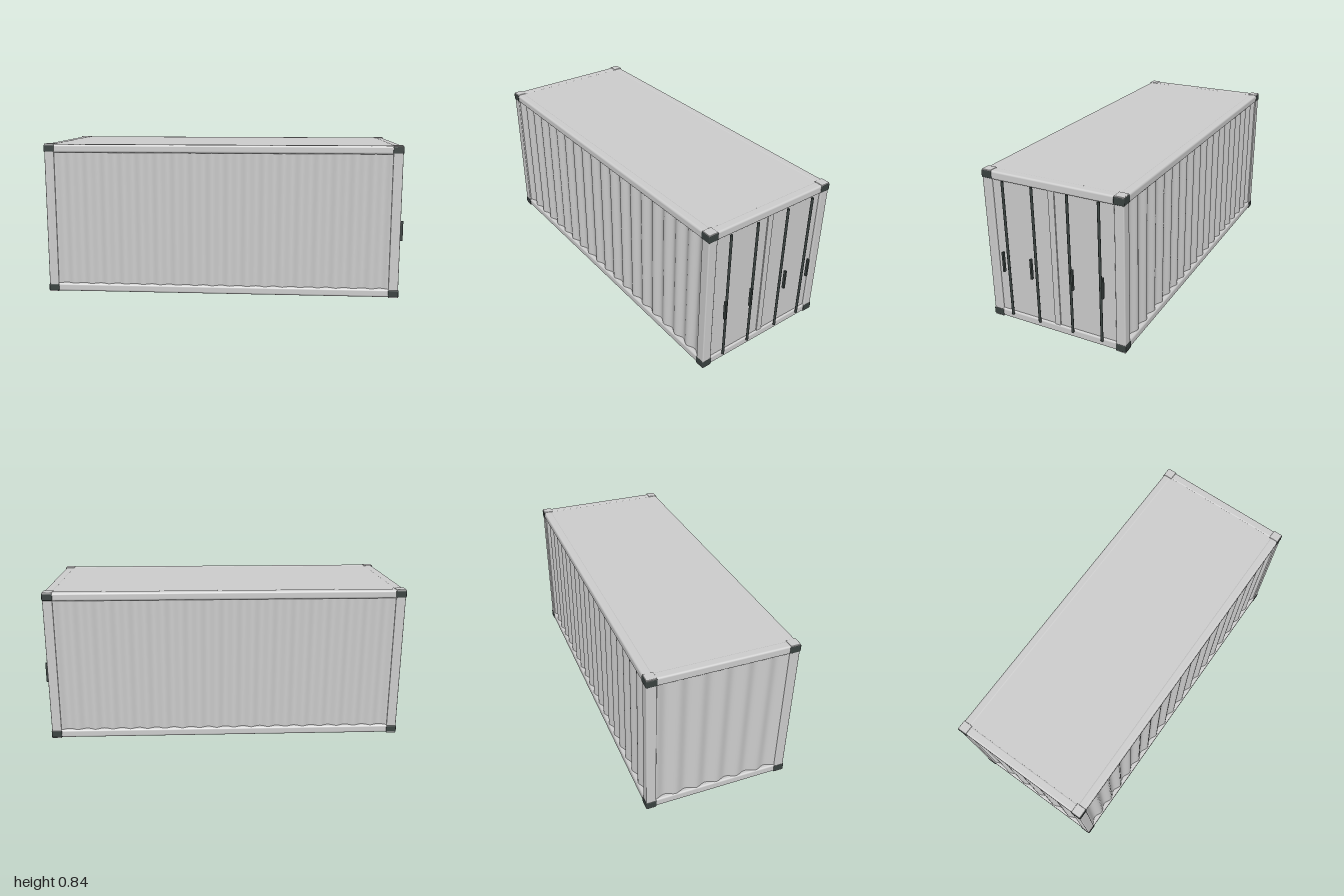
import * as THREE from 'three';
import { RoundedBoxGeometry } from 'three/addons/geometries/RoundedBoxGeometry.js';

export function createModel() {
  const model = new THREE.Group();
  const steel = new THREE.MeshStandardMaterial({ color: 0xcccccc });
  steel.name = 'light grey steel';
  const dark = new THREE.MeshStandardMaterial({ color: 0x3a4240 });
  dark.name = 'dark grey metal';

  function add(name, geometry, material, x, y, z) {
    const mesh = new THREE.Mesh(geometry, material);
    mesh.name = name;
    mesh.position.set(x, y, z);
    model.add(mesh);
    return mesh;
  }
  const box = (name, material, w, h, d, x, y, z) =>
    add(name, new THREE.BoxGeometry(w, h, d), material, x, y, z);
  const rounded = (name, material, w, h, d, r, x, y, z) =>
    add(name, new RoundedBoxGeometry(w, h, d, 3, r), material, x, y, z);

  // Frame extents
  const xBack = -0.997, xDoor = 0.969, zSide = 0.397;
  const post = 0.053, midX = (xBack + xDoor) / 2, length = xDoor - xBack;
  const yLow = 0.026, yHigh = 0.818, midY = 0.422;
  const ends = [xBack + post / 2, xDoor - post / 2];
  const sides = [-1, 1];

  // Posts, corner castings and rails
  for (const s of sides) {
    const z = s * (zSide - post / 2);
    for (const x of ends) {
      rounded('cornerPost', steel, post, 0.79, post, 0.006, x, midY, z);
      for (const y of [yLow, yHigh]) {
        const out = y === yLow ? -1 : 1;
        rounded('cornerCap', steel, post, 0.046, post, 0.003, x, y + out * 0.003, z);
        rounded('cornerCasting', dark, 0.058, 0.039, 0.058, 0.005, x, y + out * 0.001, z);
      }
    }
    for (const y of [yLow, yHigh])
      rounded('sideRail', steel, length - 0.06, 0.046, 0.05, 0.012, midX, y, s * (zSide - 0.025));
  }
  for (const x of ends)
    for (const y of [yLow, yHigh])
      rounded('endRail', steel, 0.05, 0.046, 2 * zSide - 0.06, 0.01, x, y, 0);

  // Roof and recessed floor
  box('roof', steel, length - 0.05, 0.016, 2 * zSide - 0.05, midX, 0.831, 0);
  box('floor', steel, length - 0.06, 0.02, 2 * zSide - 0.06, midX, 0.025, 0);

  // Corrugated wall facing +z before it is turned
  function corrugated(name, width, waves, x, z, turn) {
    const geometry = new THREE.PlaneGeometry(width, 0.76, waves * 12, 1);
    const p = geometry.attributes.position;
    for (let i = 0; i < p.count; i++)
      p.setZ(i, 0.009 * Math.cos((p.getX(i) / width + 0.5) * waves * Math.PI * 2));
    geometry.computeVertexNormals();
    add(name, geometry, steel, x, midY, z).rotation.y = turn;
  }
  const wallLength = length - 2 * post + 0.01;
  corrugated('frontWall', wallLength, 19, midX, 0.381, 0);
  corrugated('rearWall', wallLength, 19, midX, -0.381, Math.PI);
  corrugated('endWall', 2 * (zSide - post) + 0.01, 6, xBack + 0.016, 0, -Math.PI / 2);

  // Double doors with locking rods and handles
  for (const s of sides) {
    box('door', steel, 0.03, 0.75, 0.328, 0.942, midY, s * 0.181);
    for (const z of [0.1, 0.27]) {
      add('lockingRod', new THREE.CylinderGeometry(0.007, 0.007, 0.761, 12), dark, 0.979, 0.422, s * z);
      box('doorHandle', dark, 0.014, 0.113, 0.01, 0.993, 0.359, s * (z + 0.02));
    }
  }
  box('doorSeam', steel, 0.03, 0.75, 0.034, 0.948, midY, 0);

  return model;
}
